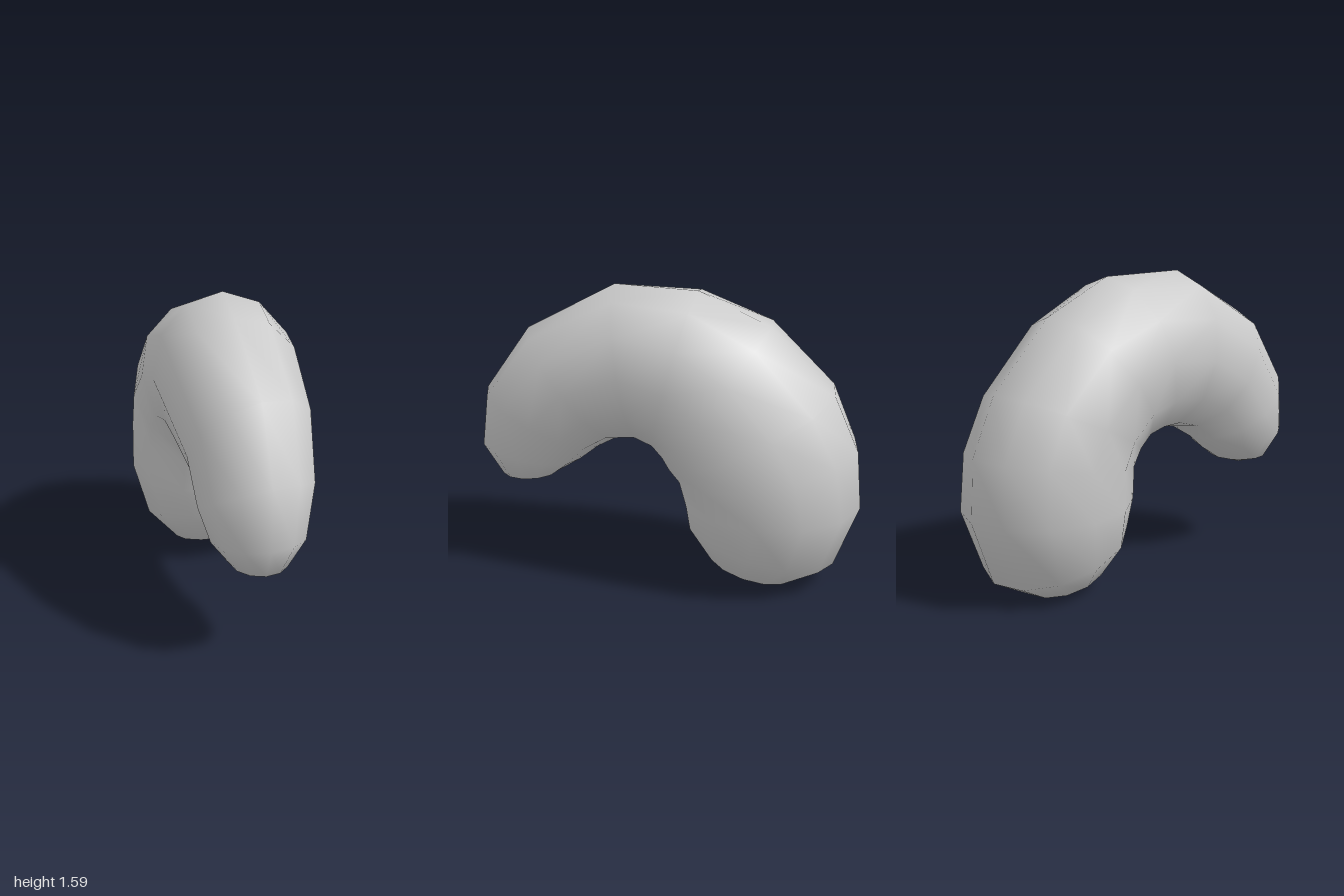
import * as THREE from 'three';

const SIDES = 12;
const ROLL = Math.PI / SIDES; // twist of the end rings against the middle

// Cross-sections from the slim front end to the thick back end:
// outer edge x, y, z, inner edge x, y, z, half width
const SECTIONS = [
  [-0.25, 0.50, 0.90, -0.25, 0.51, 0.60, 0.14],
  [-0.255, 0.68, 1.00, -0.24, 0.59, 0.48, 0.225],
  [-0.23, 0.98, 0.97, -0.225, 0.67, 0.38, 0.28],
  [-0.19, 1.33, 0.74, -0.15, 0.74, 0.28, 0.32],
  [-0.12, 1.59, 0.28, -0.09, 0.76, 0.15, 0.36],
  [0.00, 1.59, -0.15, -0.04, 0.74, 0.07, 0.375],
  [0.06, 1.42, -0.53, 0.02, 0.71, 0.03, 0.39],
  [0.11, 1.07, -0.86, 0.07, 0.67, 0.00, 0.40],
  [0.125, 0.77, -0.98, 0.10, 0.61, -0.05, 0.40],
  [0.12, 0.45, -1.00, 0.10, 0.47, -0.08, 0.40],
  [0.11, 0.11, -0.87, 0.10, 0.33, -0.10, 0.34],
  [0.10, 0.00, -0.65, 0.09, 0.12, -0.22, 0.20],
];
const FRONT_TIP = [-0.25, 0.46, 0.76];
const BACK_TIP = [0.12, 0.005, -0.46];

// Closed skin over oval rings, with a single vertex at each tip
function createBean() {
  const points = [];
  const index = [];
  const last = SECTIONS.length - 1;

  SECTIONS.forEach(([ox, oy, oz, ix, iy, iz, w], s) => {
    // rings turn with the diagonal run of the body, most in the middle
    const skew = 0.25 * Math.sin((Math.PI * s) / last) ** 4;
    const roll = ROLL * THREE.MathUtils.clamp((s - last / 2 + 1) / 3, -1, 1);
    const scale = 1 / Math.cos(roll);
    for (let k = 0; k < SIDES; k++) {
      const a = (k / SIDES) * Math.PI * 2 + roll;
      const t = (1 + scale * Math.cos(a)) / 2;
      const side = w * scale * Math.sin(a);
      points.push(
        ix + (ox - ix) * t + side,
        iy + (oy - iy) * t,
        iz + (oz - iz) * t + side * skew,
      );
    }
  });
  const front = SECTIONS.length * SIDES;
  const back = front + 1;
  points.push(...FRONT_TIP, ...BACK_TIP);

  for (let k = 0; k < SIDES; k++) {
    const n = (k + 1) % SIDES;
    for (let s = 0; s < last; s++) {
      const a = s * SIDES + k;
      const b = s * SIDES + n;
      index.push(a, b, a + SIDES, b, b + SIDES, a + SIDES);
    }
    index.push(front, n, k);
    index.push(last * SIDES + k, last * SIDES + n, back);
  }

  const geometry = new THREE.BufferGeometry();
  geometry.setAttribute('position', new THREE.Float32BufferAttribute(points, 3));
  geometry.setIndex(index);
  geometry.computeVertexNormals();
  return geometry;
}

export function createModel() {
  const group = new THREE.Group();
  group.name = 'cashew';
  const body = new THREE.Mesh(createBean(), new THREE.MeshStandardMaterial({ color: 0xcccccc }));
  body.name = 'curvedBody';
  group.add(body);
  return group;
}
